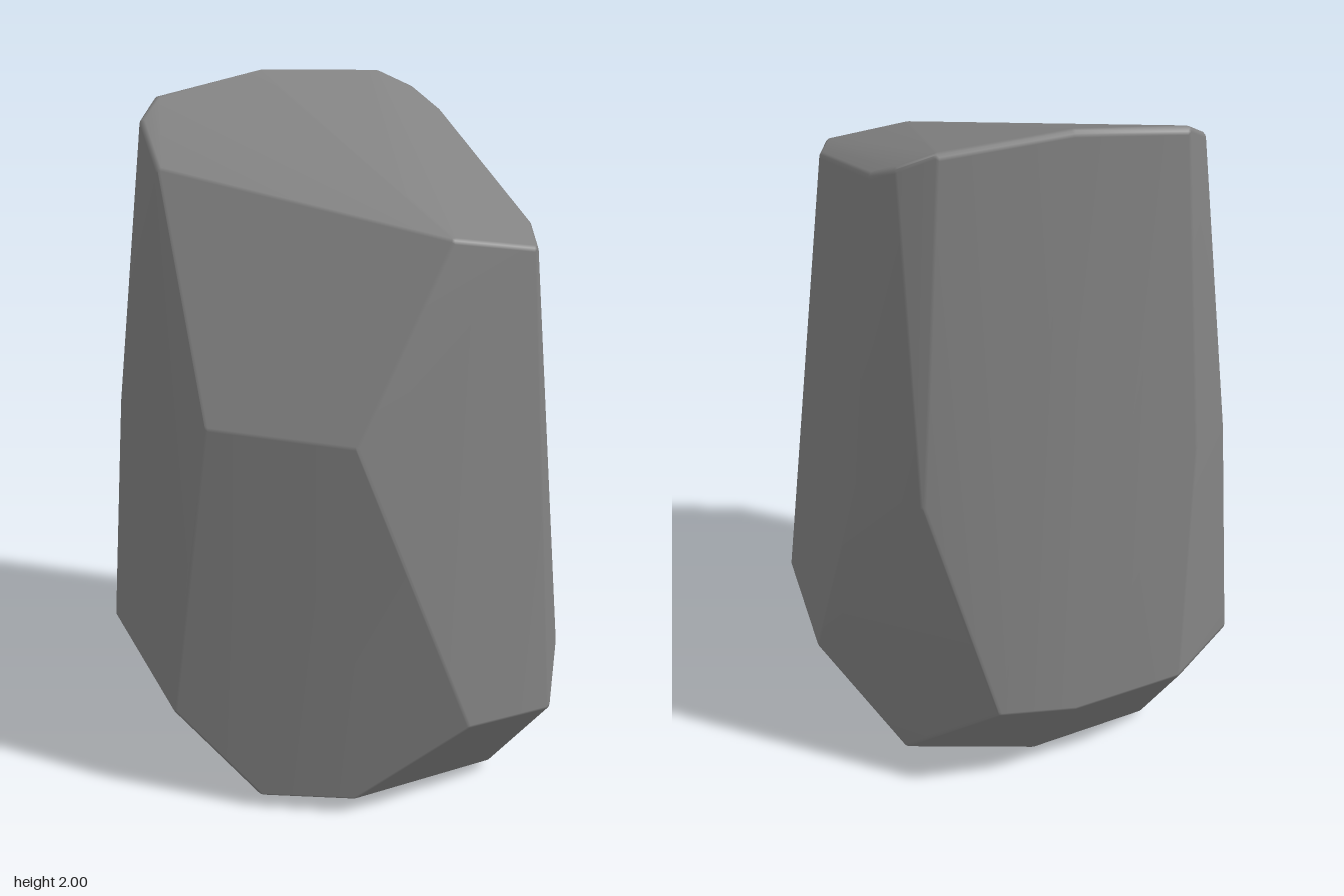
import * as THREE from 'three';
import { ConvexGeometry } from 'three/addons/geometries/ConvexGeometry.js';
import { mergeVertices } from 'three/addons/utils/BufferGeometryUtils.js';

// Centres of the rounded corners, listed ring by ring as [x, y, z]
const edgeRadius = 0.018;
const foot = [
  [-0.38, 0.057, 0.27], [-0.15, 0.067, 0.41], [0.3, 0.045, 0.37], [0.36, 0.047, -0.295],
  [0, 0.018, -0.38], [-0.35, 0.035, -0.345], [-0.39, 0.04, -0.26],
];
const belly = [
  [-0.577, 0.3, 0.115], [0.12, 0.34, 0.582], [0.39, 0.305, 0.54], [0.553, 0.34, 0.29], [0.572, 0.36, -0.145],
  [0.165, 0.34, -0.57], [-0.05, 0.32, -0.587], [-0.37, 0.34, -0.563], [-0.577, 0.34, -0.4],
];
const waist = [
  [-0.485, 1.21, 0.195], [-0.165, 1.2, 0.446], [0.475, 1, -0.3], [0.34, 1, -0.456],
  [-0.417, 1.05, -0.48], [-0.524, 1.05, -0.4],
];
const crown = [
  [-0.465, 1.815, -0.165], [0.13, 1.707, 0.395], [0.345, 1.668, 0.435], [0.393, 1.687, 0.31],
  [0.388, 1.86, -0.225], [0.345, 1.908, -0.31], [0.26, 1.952, -0.357], [-0.08, 1.982, -0.388],
  [-0.39, 1.943, -0.378], [-0.45, 1.9, -0.33],
];

// A tiny ball at every corner gives the hull narrow rounded edges
function roundedHull(corners, radius) {
  const ball = mergeVertices(new THREE.IcosahedronGeometry(radius, 1).deleteAttribute('uv').deleteAttribute('normal'));
  const offsets = ball.getAttribute('position');
  const points = [];
  for (const [x, y, z] of corners) {
    for (let i = 0; i < offsets.count; i++) {
      points.push(new THREE.Vector3(x, y, z).add(new THREE.Vector3().fromBufferAttribute(offsets, i)));
    }
  }
  // Shared vertices with area-weighted normals keep the big facets flat and the edges soft
  const hull = new ConvexGeometry(points);
  hull.deleteAttribute('normal');
  const geometry = mergeVertices(hull, 1e-5);
  geometry.computeVertexNormals();
  return geometry;
}

export function createModel() {
  const group = new THREE.Group();
  group.name = 'rock';

  const boulder = new THREE.Mesh(
    roundedHull([...foot, ...belly, ...waist, ...crown], edgeRadius),
    new THREE.MeshStandardMaterial({ color: 0x828282 }),
  );
  boulder.name = 'boulder';
  group.add(boulder);
  return group;
}
